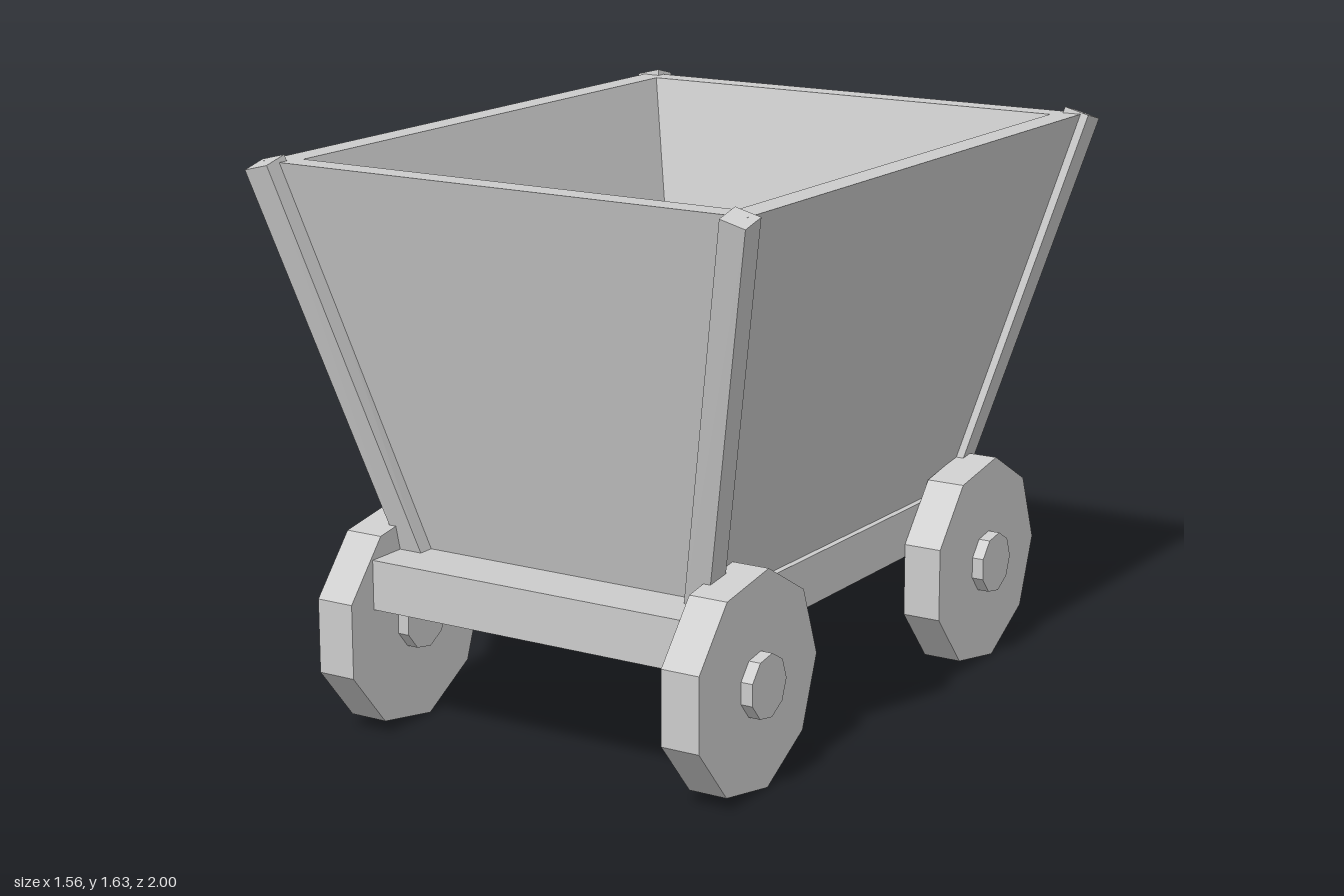
import * as THREE from 'three';

// Corner order, counter-clockwise seen from above
const CORNERS = [[1, 1], [1, -1], [-1, -1], [-1, 1]];

// Skin a list of four-cornered rings, with an optional cap on the last one
function loft(rings, cap) {
  const pos = [];
  const quad = (a, b, c, d) => [a, b, c, a, c, d].forEach((p) => pos.push(...p));
  for (let r = 0; r < rings.length - 1; r++) {
    for (let i = 0; i < 4; i++) {
      const j = (i + 1) % 4;
      quad(rings[r][i], rings[r][j], rings[r + 1][j], rings[r + 1][i]);
    }
  }
  if (cap) quad(...rings[rings.length - 1]);
  const geo = new THREE.BufferGeometry();
  geo.setAttribute('position', new THREE.Float32BufferAttribute(pos, 3));
  geo.computeVertexNormals();
  return geo;
}

export function createModel() {
  const group = new THREE.Group();
  const grey = new THREE.MeshStandardMaterial({ color: 0xcccccc, flatShading: true });
  grey.name = 'plain grey';

  const add = (name, geo, x = 0, y = 0, z = 0) => {
    const mesh = new THREE.Mesh(geo, grey);
    mesh.name = name;
    mesh.position.set(x, y, z);
    group.add(mesh);
  };

  // Flat bed that carries the hopper
  add('bed', new THREE.BoxGeometry(1.0, 0.142, 1.7), 0, 0.449, 0);

  // Flared hopper: outer walls, rim, then inner walls down to the bed
  const ring = (hx, y, hz) => CORNERS.map(([sx, sz]) => [sx * hx, y, sz * hz]);
  add('hopper', loft([
    ring(0.48, 0.515, 0.675),
    ring(0.755, 1.62, 0.95),
    ring(0.68, 1.62, 0.875),
    ring(0.41, 0.52, 0.59),
  ]));

  // Axle-turned nine-sided discs, with one corner pointing backwards
  const disc = (radius, width) =>
    new THREE.CylinderGeometry(radius, radius, width, 9, 1, false, Math.PI).rotateZ(Math.PI / 2);
  const wheelGeo = disc(0.31, 0.115);
  const hubGeo = disc(0.09, 0.185);

  for (const [sx, sz] of CORNERS) {
    const place = (sz > 0 ? 'front' : 'back') + (sx > 0 ? 'Left' : 'Right');

    // Leaning corner post with a tilted top
    const half = 0.0375;
    const bottom = CORNERS.map(([cx, cz]) => [sx * 0.462 + cx * half, 0.5, sz * 0.682 + cz * half]);
    const top = CORNERS.map(([cx, cz]) => [
      sx * 0.742 + cx * half,
      1.619 - 0.0095 * (cx * sx + cz * sz),
      sz * 0.962 + cz * half,
    ]);
    add(place + 'Post', loft([bottom, top], true));

    // Wheel and hub
    add(place + 'Wheel', wheelGeo, sx * 0.558, 0.31, sz * 0.656);
    add(place + 'Hub', hubGeo, sx * 0.558, 0.31, sz * 0.656);
  }
  return group;
}
